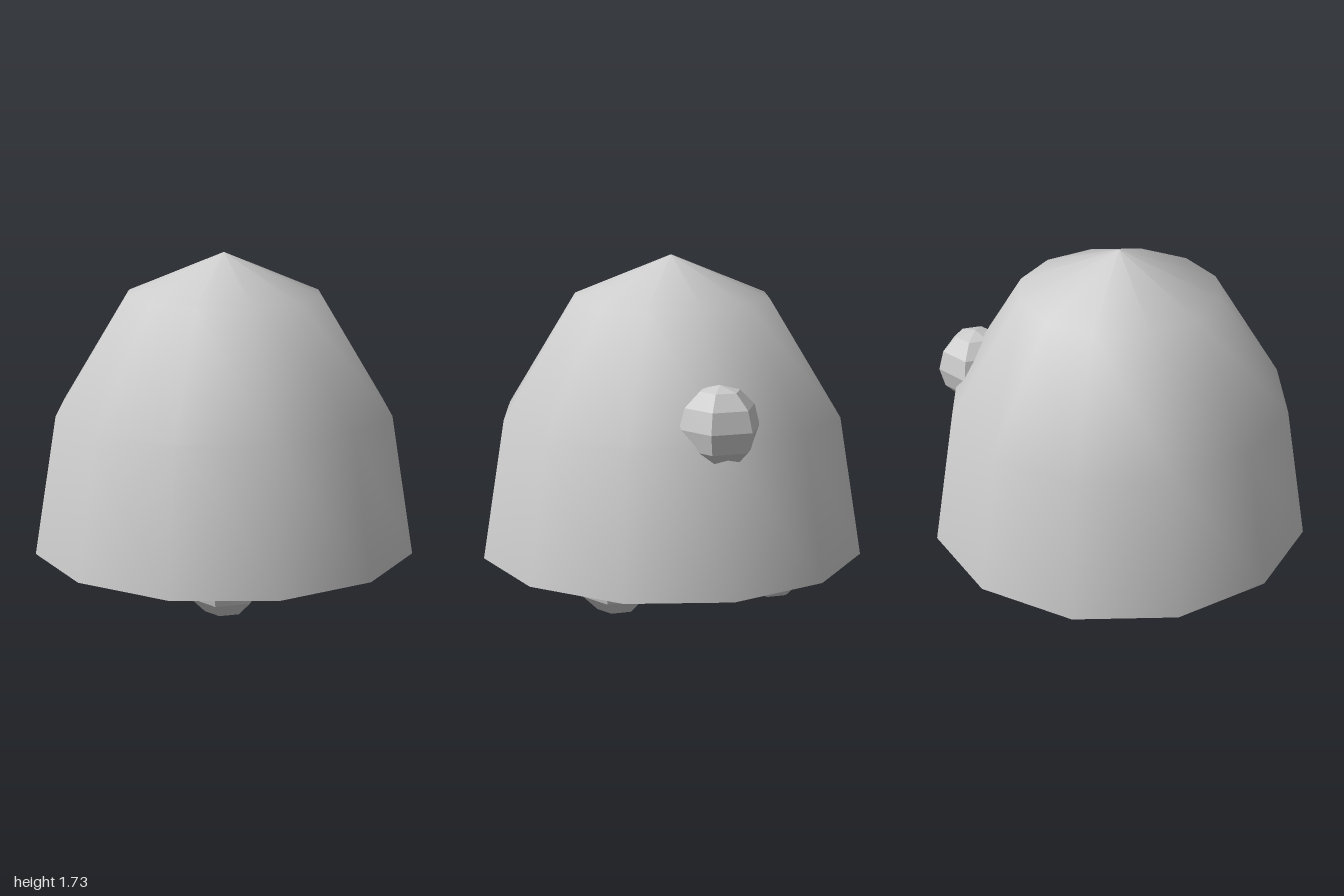
import * as THREE from 'three';

export function createModel() {
  const model = new THREE.Group();
  const smooth = new THREE.MeshStandardMaterial({ color: 0xcccccc });
  const faceted = new THREE.MeshStandardMaterial({ color: 0xcccccc, flatShading: true });

  const add = (name, geometry, material, x, y, z, parent = model) => {
    const mesh = new THREE.Mesh(geometry, material);
    mesh.name = name;
    mesh.position.set(x, y, z);
    parent.add(mesh);
    return mesh;
  };

  // Twelve-sided dome, smooth around, with a flat underside
  const baseY = 0.21;
  const profile = [[1, baseY], [0.88, 0.925], [0.51, 1.52], [0, 1.73]]
    .map(([r, y]) => new THREE.Vector2(r, y));
  add('domeBody', new THREE.LatheGeometry(profile, 12), smooth, 0, 0, 0);
  add('domeUnderside', new THREE.CircleGeometry(1, 12).rotateX(Math.PI / 2), faceted, 0, baseY, 0);

  // Six-sided knob sunk into the left side
  const knob = new THREE.SphereGeometry(0.2, 6, 6).rotateY(Math.PI / 2);
  add('sideKnob', knob, faceted, 0.77, 1, 0);

  // Four half-ball feet, closed on top
  const half = new THREE.SphereGeometry(0.2, 6, 3, 0, Math.PI * 2, Math.PI / 2, Math.PI / 2)
    .rotateY(Math.PI / 2);
  const cap = new THREE.CircleGeometry(0.2, 6).rotateX(-Math.PI / 2).rotateY(Math.PI / 2);
  for (const x of [-0.41, 0.41]) {
    for (const z of [-0.41, 0.41]) {
      const foot = new THREE.Group();
      foot.name = (z > 0 ? 'front' : 'back') + (x > 0 ? 'Left' : 'Right') + 'Foot';
      foot.position.set(x, 0.2, z);
      add('footBall', half, faceted, 0, 0, 0, foot);
      add('footTop', cap, faceted, 0, 0, 0, foot);
      model.add(foot);
    }
  }
  return model;
}
